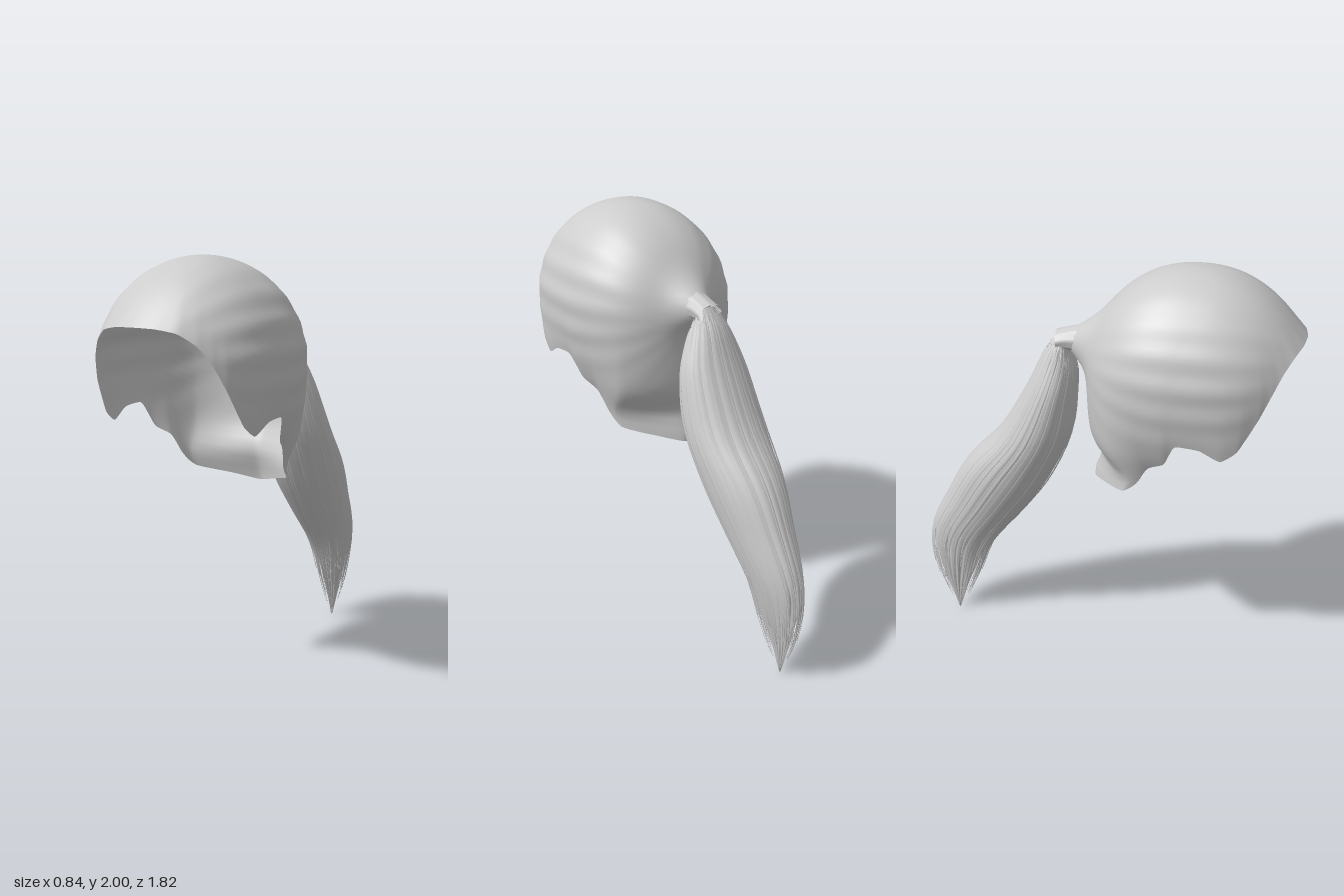
import * as THREE from 'three';
import { mergeVertices, mergeGeometries } from 'three/addons/utils/BufferGeometryUtils.js';

const V = (x, y, z) => new THREE.Vector3(x, y, z);

// Smooth surface from a rule f(u, v), with u and v running from 0 to 1
function surface(f, nu, nv) {
  const pos = [], index = [];
  for (let j = 0; j <= nv; j++)
    for (let i = 0; i <= nu; i++) pos.push(...f(i / nu, j / nv).toArray());
  for (let j = 0; j < nv; j++)
    for (let i = 0; i < nu; i++) {
      const a = j * (nu + 1) + i, b = a + nu + 1;
      index.push(a, a + 1, b, a + 1, b + 1, b);
    }
  let g = new THREE.BufferGeometry();
  g.setAttribute('position', new THREE.Float32BufferAttribute(pos, 3));
  g.setIndex(index);
  g = mergeVertices(g, 1e-5);
  g.computeVertexNormals();
  return g;
}

function seeded(seed) {
  return () => {
    seed = (seed * 16807) % 2147483647;
    return seed / 2147483647;
  };
}

// Hairline from the middle of the forehead round the left side to the nape
const hemHalf = [
  [0, 1.72, 0.912], [0.1, 1.717, 0.9], [0.19, 1.7, 0.87], [0.26, 1.65, 0.83], [0.31, 1.57, 0.79],
  [0.345, 1.46, 0.74], [0.37, 1.31, 0.66], [0.38, 1.26, 0.59], [0.39, 1.31, 0.5],
  [0.385, 1.315, 0.39], [0.345, 1.2, 0.34], [0.31, 1.15, 0.26], [0.26, 0.99, 0.12],
  [0.12, 0.945, 0.02], [0, 0.912, -0.045],
].map(p => V(...p));
const hem = new THREE.CatmullRomCurve3(
  [...hemHalf, ...hemHalf.slice(1, -1).reverse().map(p => V(-p.x, p.y, p.z))], true, 'catmullrom', 0.2);
const centre = V(0, 1.52, 0.425);

// Rounded skull, a little squarish from above: distance from the centre in a direction
function skullRadius(d) {
  const h = d.y > 0 ? 0.48 : 0.9, e = 2.3;
  const plan = (Math.abs(d.x) / 0.422) ** e + (Math.abs(d.z) / 0.49) ** e;
  return 1 / Math.sqrt(plan ** (2 / e) + (d.y / h) ** 2);
}

function capPoint(u, s) {
  const end = hem.getPointAt(u % 1).sub(centre), reach = end.length();
  end.normalize();
  const angle = Math.acos(end.y) * s;
  const flat = V(end.x, 0, end.z).normalize();
  const d = flat.multiplyScalar(Math.sin(angle)).add(V(0, Math.cos(angle), 0));
  const k = 1 + (reach / skullRadius(end) - 1) * s ** 6;
  // shallow combed waves on the sides, running towards the tie
  const around = Math.atan2(d.y - 0.1, Math.abs(d.x) + 1e-6);
  const wave = 0.005 * Math.sin(around * 19) * d.x * d.x * Math.sin(Math.PI * s);
  const p = d.clone().multiplyScalar(skullRadius(d) * k + wave).add(centre);
  // pull the back out into the tie, and hollow the nape
  if (p.z < 0.3) {
    p.z -= 0.12 * Math.exp(-((p.x / 0.1) ** 2) - ((p.y - 1.62) / 0.1) ** 2);
    p.z += 0.055 * Math.min(1, (0.3 - p.z) / 0.2) * Math.exp(-(((p.y - 1.06) / 0.085) ** 2));
  }
  return p;
}

// Ponytail: back and front edges in the (z, y) plane, and half widths in x
const plane = pts => new THREE.CatmullRomCurve3(pts.map(([z, y]) => V(0, y, z)));
const tailBack = plane([[-0.21, 1.645], [-0.27, 1.56], [-0.35, 1.39], [-0.5, 1.13], [-0.67, 0.94],
  [-0.78, 0.75], [-0.895, 0.5], [-0.88, 0.24], [-0.79, 0.01]]);
const tailFront = plane([[-0.16, 1.575], [-0.13, 1.48], [-0.135, 1.34], [-0.165, 1.13], [-0.28, 0.87],
  [-0.41, 0.68], [-0.585, 0.45], [-0.68, 0.22], [-0.78, 0.0]]);
const tailWidth = plane([0.055, 0.1, 0.155, 0.18, 0.165, 0.135, 0.095, 0.055, 0.006].map((w, i) => [i, w]));

function tailPoint(angle, s, scale) {
  const b = tailBack.getPoint(s), f = tailFront.getPoint(s);
  const mid = b.clone().add(f).multiplyScalar(0.5);
  const p = mid.add(b.sub(f).multiplyScalar(0.5 * scale * Math.cos(angle)));
  p.x = tailWidth.getPoint(s).y * scale * Math.sin(angle) + 0.02 * Math.sin(Math.PI * s) * s - 0.01 * s;
  return p;
}

export function createModel() {
  const group = new THREE.Group();
  const hair = new THREE.MeshStandardMaterial({ color: 0xcccccc, side: THREE.DoubleSide });
  hair.name = 'hair grey';
  const add = (name, geometry) => {
    const mesh = new THREE.Mesh(geometry, hair);
    mesh.name = name;
    group.add(mesh);
  };

  // Combed hair over the head, open at the face and neck
  add('hairCap', surface(capPoint, 168, 44));

  // Gathered neck between the cap and the ponytail; x holds the radius
  const neck = new THREE.CatmullRomCurve3([
    V(0.07, 1.617, -0.095), V(0.066, 1.618, -0.13), V(0.062, 1.616, -0.17), V(0.063, 1.607, -0.215)]);
  add('hairTie', surface((u, v) => {
    const p = neck.getPoint(v), a = u * Math.PI * 2;
    const r = p.x * (1 + 0.03 * Math.cos(a * 9));
    return V(r * Math.sin(a), p.y + r * (1 - 0.25 * v) * Math.cos(a), p.z - 0.1 * r * Math.cos(a));
  }, 36, 10));

  // Fluted body of the ponytail, slimmer near the tip
  add('ponytail', surface((u, s) => {
    const a = u * Math.PI * 2;
    const flute = 0.92 + 0.07 * Math.min(1, s * 4) * Math.cos(a * 18 + Math.sin(s * 5));
    const slim = 1 - 0.3 * THREE.MathUtils.smoothstep(s, 0.7, 0.95);
    return tailPoint(a, s, flute * slim);
  }, 108, 40));

  // Loose flat strands with pointed ends lying on the ponytail
  const random = seeded(71);
  const strands = [];
  for (let n = 0; n < 80; n++) {
    const a = (n + random() * 0.8) / 80 * Math.PI * 2;
    const half = 0.05 + random() * 0.06;
    const start = random() * 0.12, end = 0.83 + random() * 0.14;
    const lift = 0.96 + random() * 0.09, spread = random() * 0.5 - 0.25;
    strands.push(surface((u, v) => {
      const s = start + (end - start) * v;
      const taper = Math.min(1, (1 - v) * 4) * Math.min(1, 0.3 + v * 5);
      const ridge = 0.03 * (1 - Math.abs(u * 2 - 1));
      const away = spread * Math.max(0, s - 0.72) / 0.28;
      return tailPoint(a + (u - 0.5) * 2 * half * taper, s, lift + ridge + away);
    }, 2, 24));
  }
  add('looseStrands', mergeGeometries(strands));

  return group;
}
